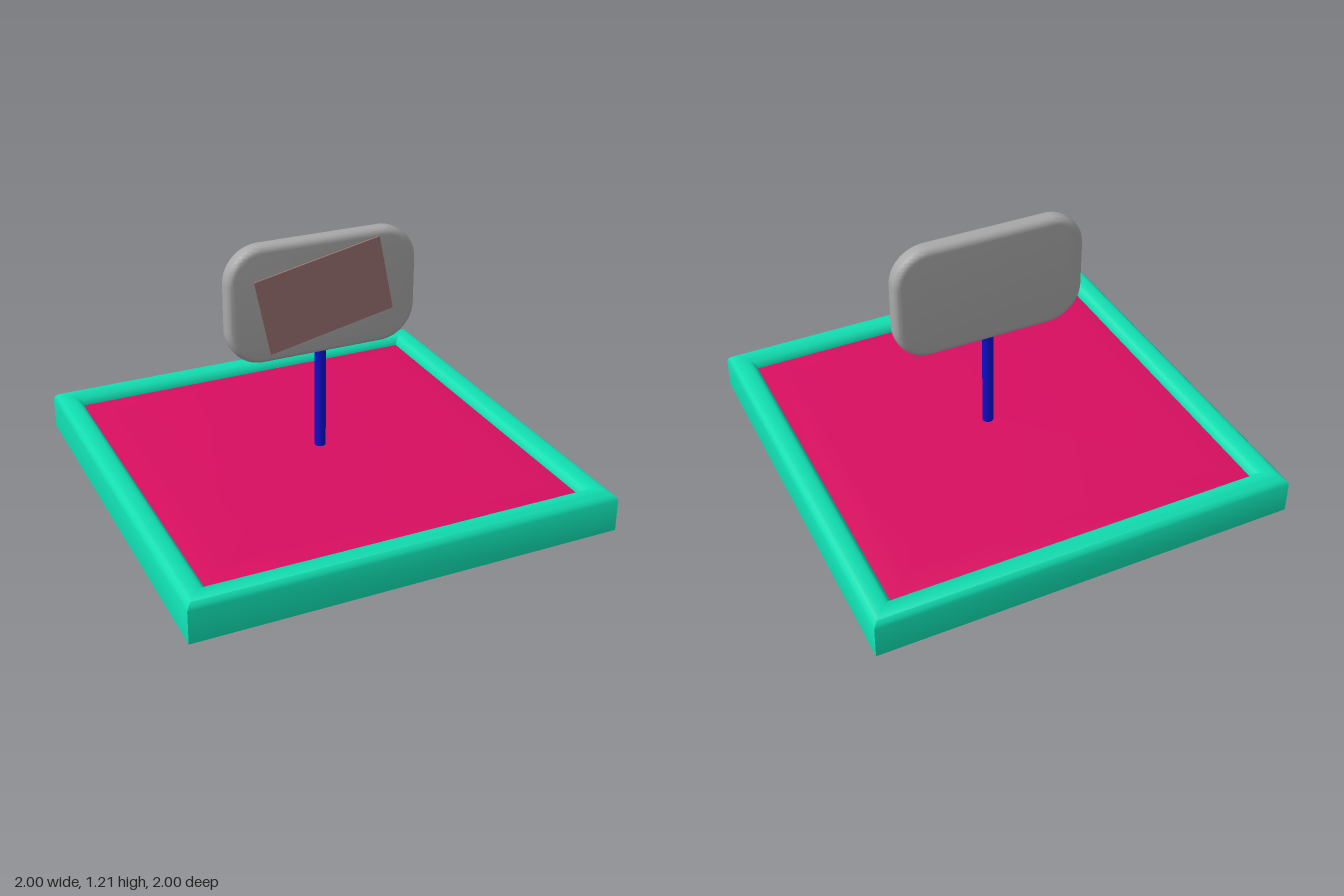
import * as THREE from 'three';
import { toCreasedNormals } from 'three/addons/utils/BufferGeometryUtils.js';

const material = (color) => new THREE.MeshStandardMaterial({ color });

function addPart(group, name, geometry, color) {
  const mesh = new THREE.Mesh(geometry, material(color));
  mesh.name = name;
  group.add(mesh);
  return mesh;
}

// Square, mitred solid from a [half-width, height] profile running from bottom to top
function squareLathe(profile) {
  const points = profile.map(([w, y]) => new THREE.Vector2(w * Math.SQRT2, y));
  return toCreasedNormals(new THREE.LatheGeometry(points, 4, Math.PI / 4), 0.7);
}

// Rounded rectangle centred on the origin
function roundedRect(w, h, r) {
  const x = w / 2 - r, y = h / 2 - r;
  const shape = new THREE.Shape();
  shape.absarc(x, y, r, 0, Math.PI / 2);
  shape.absarc(-x, y, r, Math.PI / 2, Math.PI);
  shape.absarc(-x, -y, r, Math.PI, Math.PI * 1.5);
  shape.absarc(x, -y, r, Math.PI * 1.5, Math.PI * 2);
  return shape;
}

export function createModel() {
  const model = new THREE.Group();
  model.name = 'signOnTray';
  const signX = 0.02;

  // Tray with a closed bottom and a rounded rim
  addPart(model, 'trayFrame', squareLathe([
    [0, 0], [1, 0], [1, 0.152], [0.993, 0.167], [0.98, 0.18], [0.964, 0.188], [0.945, 0.19],
    [0.922, 0.187], [0.902, 0.178], [0.887, 0.163], [0.879, 0.145], [0.876, 0.12],
  ]), 0x10dcb0);

  // Padded floor that slopes down slightly towards the rim
  addPart(model, 'trayFloor', squareLathe([
    [0.885, 0.12], [0.885, 0.141], [0.8, 0.156], [0.76, 0.16], [0, 0.16],
  ]), 0xd80e60);

  // Pole
  const pole = addPart(model, 'pole', new THREE.CylinderGeometry(0.026, 0.026, 0.56, 24), 0x0d0dcc);
  pole.position.set(signX, 0.42, 0);

  // Sign board with rounded edges
  const bevel = 0.03, depth = 0.09;
  const board = new THREE.ExtrudeGeometry(roundedRect(0.92 - 2 * bevel, 0.555 - 2 * bevel, 0.14), {
    depth: depth - 2 * bevel, bevelThickness: bevel, bevelSize: bevel,
    bevelSegments: 5, curveSegments: 14,
  });
  board.translate(0, 0, bevel - depth / 2);
  const sign = addPart(model, 'signBoard', toCreasedNormals(board, 0.7), 0xa8a8a8);
  sign.position.set(signX, 0.928, 0);

  // Tilted plate on the front of the sign
  const plate = addPart(model, 'signPlate', new THREE.BoxGeometry(0.618, 0.363, 0.02), 0x9c7272);
  plate.position.set(signX, 0.934, 0.043);
  plate.rotation.z = 0.204;

  return model;
}
